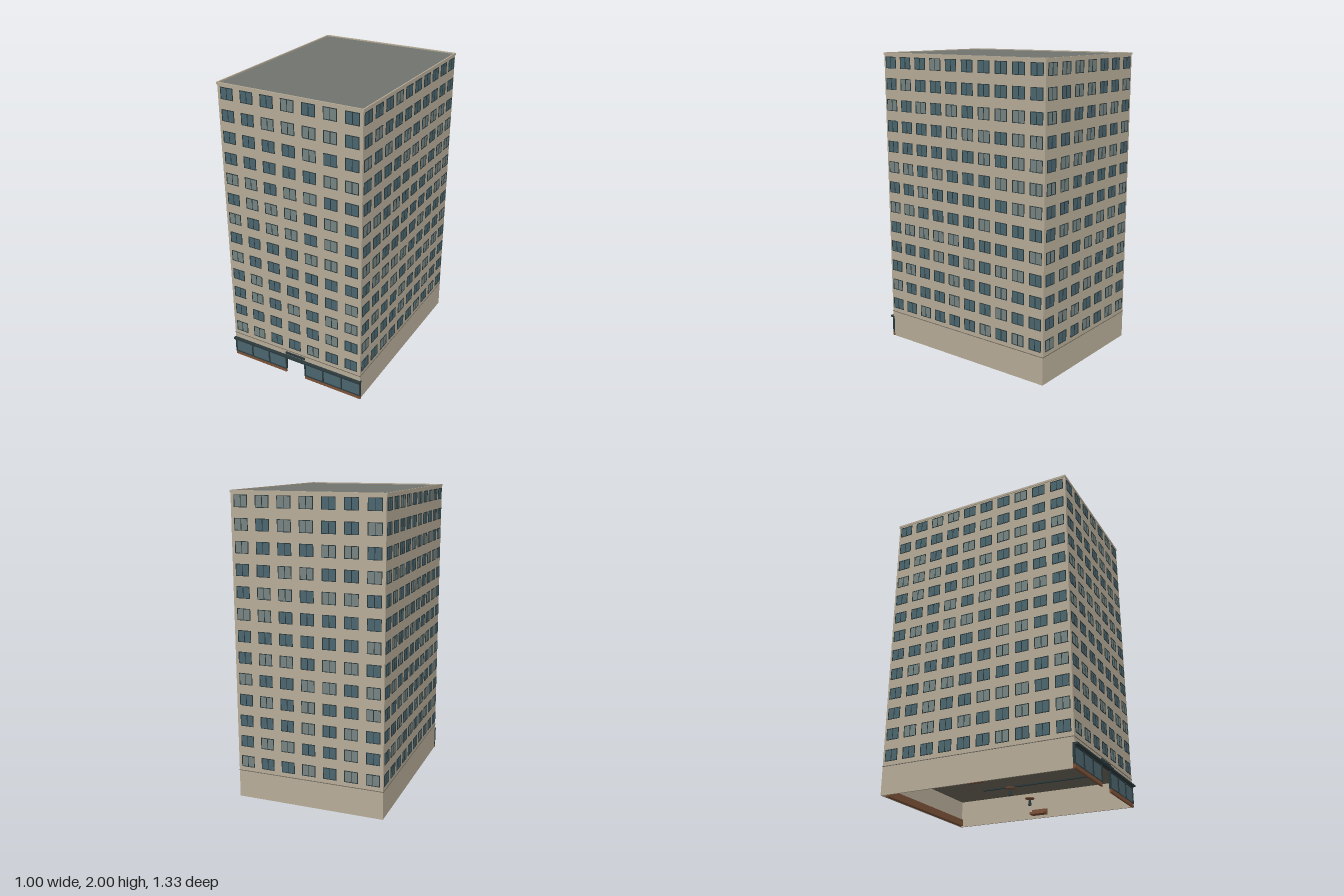
import * as THREE from 'three';
import { mergeGeometries } from 'three/addons/utils/BufferGeometryUtils.js';

const mat = (color) => new THREE.MeshStandardMaterial({ color });
const M = {
  wall: mat(0xb8ad99), roof: mat(0x70736e), frame: mat(0x2b3a3d), dark: mat(0x4d6770),
  light: mat(0x788683), brown: mat(0x7d5238), ceiling: mat(0x6f675c), seam: mat(0x6b655b),
};

// Building extents: body walls, back and front
const X = 0.496, ZB = -0.661, ZF = 0.641, FLOOR = 0.185, WALL = 0.01;
const ZM = (ZB + ZF) / 2, DEPTH = ZF - ZB;

export function createModel() {
  const model = new THREE.Group();
  const add = (name, geometry, material, parent = model) => {
    const mesh = new THREE.Mesh(geometry, material);
    mesh.name = name;
    parent.add(mesh);
    return mesh;
  };
  // Box given by its min and max corners
  const box = (name, material, x0, x1, y0, y1, z0, z1, parent) => {
    const m = add(name, new THREE.BoxGeometry(x1 - x0, y1 - y0, z1 - z0), material, parent);
    m.position.set((x0 + x1) / 2, (y0 + y1) / 2, (z0 + z1) / 2);
    return m;
  };
  const group = (name) => {
    const g = new THREE.Group();
    g.name = name;
    model.add(g);
    return g;
  };

  // Tower and roof with its low parapet
  box('tower', M.wall, -X, X, FLOOR, 1.99, ZB, ZF);
  box('roofDeck', M.roof, -X + 0.008, X - 0.008, 1.988, 1.993, ZB + 0.008, ZF - 0.008);
  const parapet = group('parapet');
  for (const s of [-1, 1]) {
    box('parapetSide', M.wall, s * X - 0.004, s * X + 0.004, 1.985, 2, ZB - 0.004, ZF + 0.004, parapet);
    const z = s < 0 ? ZB : ZF;
    box('parapetEnd', M.wall, -X, X, 1.985, 2, z - 0.004, z + 0.004, parapet);
  }
  box('floorSeam', M.seam, -X - 0.002, X + 0.002, FLOOR - 0.002, FLOOR + 0.002, ZB - 0.002, ZF + 0.002);

  // Window frame with two panes; the glass lies behind it
  const W = 0.09, H = 0.076, BAR = 0.004;
  const rect = (T, x0, x1, y0, y1) => {
    const p = new T();
    p.moveTo(x0, y0);
    p.lineTo(x1, y0);
    p.lineTo(x1, y1);
    p.lineTo(x0, y1);
    p.closePath();
    return p;
  };
  const outline = rect(THREE.Shape, -W / 2, W / 2, -H / 2, H / 2);
  for (const s of [-1, 1]) {
    const a = s * 0.0015, b = s * (W / 2 - BAR);
    outline.holes.push(rect(THREE.Path, Math.min(a, b), Math.max(a, b), -H / 2 + BAR, H / 2 - BAR));
  }
  const frameGeo = new THREE.ExtrudeGeometry(outline, { depth: 0.004, bevelEnabled: false });
  const glassGeo = new THREE.PlaneGeometry(W - BAR, H - BAR).translate(0, 0, 0.001);

  // Seeded generator choosing dark or light panes
  let seed = 17;
  const random = () => (seed = (seed * 16807) % 2147483647) / 2147483647;

  // Window grids on the four faces
  const faces = [
    { name: 'front', count: 7, step: 0.1432, turn: 0, at: [0, ZF] },
    { name: 'back', count: 7, step: 0.1432, turn: Math.PI, at: [0, ZB] },
    { name: 'left', count: 10, step: 0.1312, turn: Math.PI / 2, at: [X, ZM] },
    { name: 'right', count: 10, step: 0.1312, turn: -Math.PI / 2, at: [-X, ZM] },
  ];
  for (const f of faces) {
    const frames = [], dark = [], light = [];
    for (let row = 0; row < 13; row++) {
      for (let col = 0; col < f.count; col++) {
        const x = (col - (f.count - 1) / 2) * f.step, y = 0.253 + row * 0.1402;
        frames.push(frameGeo.clone().translate(x, y, 0));
        (random() < 0.38 ? light : dark).push(glassGeo.clone().translate(x, y, 0));
      }
    }
    const g = group(f.name + 'Windows');
    add('windowFrames', mergeGeometries(frames), M.frame, g);
    add('darkGlass', mergeGeometries(dark), M.dark, g);
    add('lightGlass', mergeGeometries(light), M.light, g);
    g.position.set(f.at[0], 0, f.at[1]);
    g.rotation.y = f.turn;
  }

  // Hollow ground floor: three walls, front band and ceiling
  const ground = group('groundFloor');
  for (const s of [-1, 1]) {
    const a = s * X, b = s * (X - WALL);
    box('sideWall', M.wall, Math.min(a, b), Math.max(a, b), 0, FLOOR, ZB, ZF - 0.008, ground);
  }
  box('backWall', M.wall, -X, X, 0, FLOOR, ZB, ZB + WALL, ground);
  box('frontBand', M.wall, -X, X, 0.14, FLOOR, ZF - WALL, ZF, ground);
  box('ceiling', M.ceiling, -X + WALL, X - WALL, 0.18, 0.184, ZB + WALL, ZF - WALL, ground);

  // Storefront on each side of the open entrance
  const shop = group('storefront');
  for (const s of [-1, 1]) {
    const span = (name, m, a, b, y0, y1, z0, z1) =>
      box(name, m, Math.min(s * a, s * b), Math.max(s * a, s * b), y0, y1, z0, z1, shop);
    span('shopGlass', M.dark, 0.075, 0.498, 0.025, 0.135, 0.634, 0.638);
    span('shopBase', M.brown, 0.075, 0.499, 0, 0.024, 0.63, 0.643);
    span('shopSill', M.frame, 0.075, 0.499, 0.024, 0.029, 0.63, 0.645);
    span('shopHead', M.frame, 0.075, 0.499, 0.127, 0.135, 0.631, 0.643);
    for (const x of [0.075, 0.216, 0.357, 0.496])
      span('shopPost', M.frame, x - 0.004, x + 0.004, 0.025, 0.135, 0.63, 0.645);
  }
  box('canopy', M.frame, -0.5, 0.5, 0.135, 0.147, 0.63, 0.663, shop);
  box('entranceCanopy', M.frame, -0.075, 0.075, 0.137, 0.149, 0.64, 0.667, shop);
  box('entrancePlate', M.frame, -0.075, 0.075, 0.157, 0.174, ZF, 0.648, shop);

  // Lobby: rear counter, side benches, small tables, ceiling rails
  const lobby = group('lobby');
  box('rearCounter', M.brown, -0.46, 0.46, 0, 0.045, ZB + WALL, ZB + 0.035, lobby);
  for (const s of [-1, 1]) {
    const x = s * 0.44;
    box('benchSeat', M.brown, x - 0.025, x + 0.025, 0.015, 0.03, -0.075, 0.035, lobby);
    box('benchBack', M.brown, x + s * 0.025 - 0.005, x + s * 0.025 + 0.005, 0.015, 0.055, -0.075, 0.035, lobby);
    const top = add('tableTop', new THREE.CylinderGeometry(0.03, 0.03, 0.006, 16), M.brown, lobby);
    top.position.set(s * 0.14, 0.045, 0.06);
    const leg = add('tableLeg', new THREE.CylinderGeometry(0.006, 0.012, 0.042, 10), M.frame, lobby);
    leg.position.set(s * 0.14, 0.021, 0.06);
    box('ceilingRail', M.frame, s * 0.26 - 0.006, s * 0.26 + 0.006, 0.172, 0.18, -0.35, 0.42, lobby);
  }
  return model;
}
